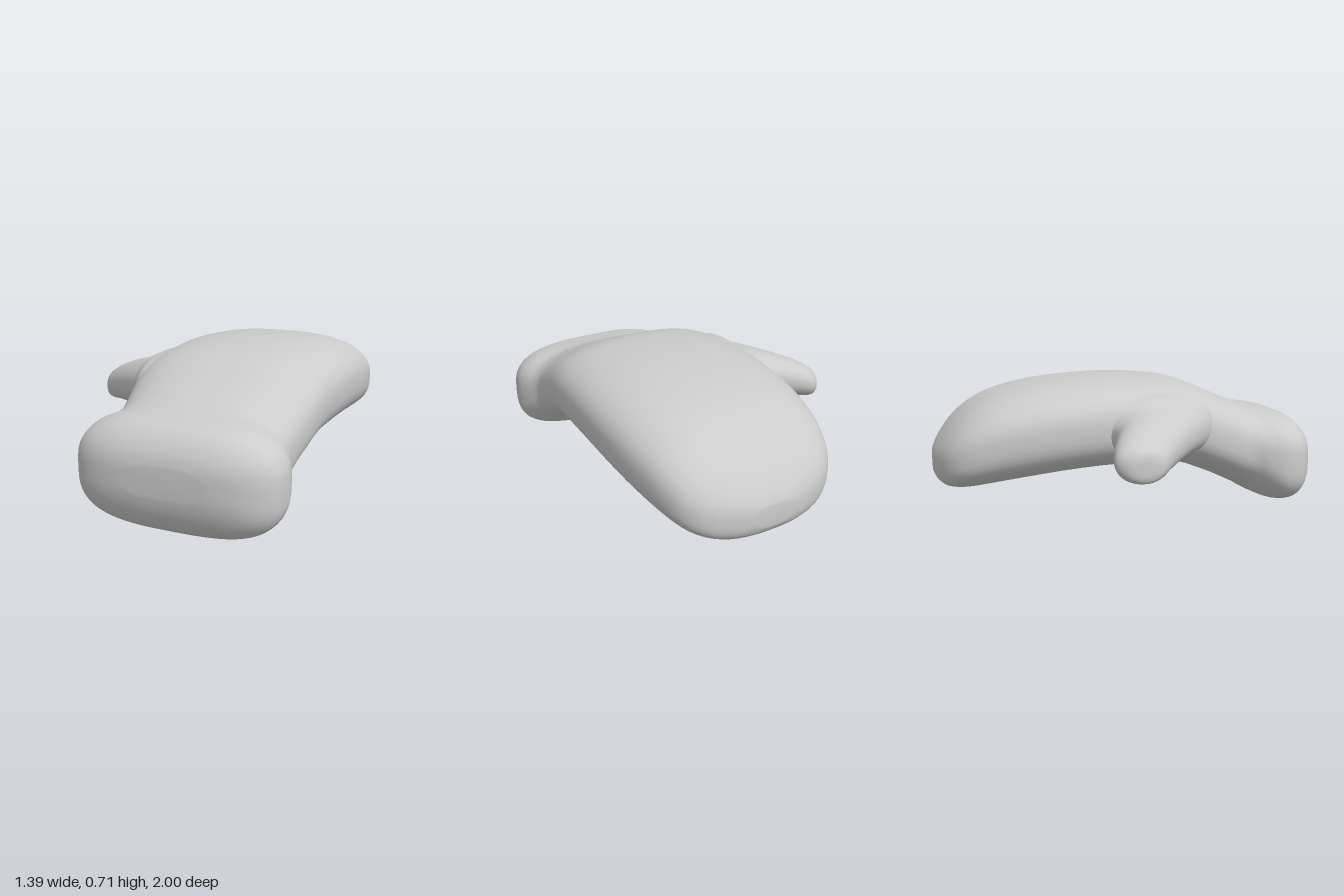
import * as THREE from 'three';

const SEG = 64; // points around each cross-section
const SUB = 3;  // smooth steps between two given sections

// Catmull-Rom blend of neighbouring section rows
function smoothRows(rows) {
  const out = [];
  const at = i => rows[Math.min(Math.max(i, 0), rows.length - 1)];
  for (let i = 0; i < rows.length - 1; i++) {
    for (let k = 0; k < SUB; k++) {
      const t = k / SUB, a = at(i - 1), b = at(i), c = at(i + 1), d = at(i + 2);
      out.push(b.map((v, n) => v + 0.5 * t * (c[n] - a[n]
        + t * (2 * a[n] - 5 * v + 4 * c[n] - d[n]
        + t * (3 * (v - c[n]) + d[n] - a[n])))));
    }
  }
  out.push(rows[rows.length - 1]);
  return out;
}

// Closed loft of superellipses; row = [station, sideMin, sideMax, yMin, yMax, power]
function loft(rows, place) {
  const rings = smoothRows(rows), pos = [], index = [];
  const bend = (v, p) => Math.sign(v) * Math.pow(Math.abs(v), 2 / p);
  for (const [s, lo, hi, y0, y1, p] of rings) {
    for (let j = 0; j < SEG; j++) {
      const a = (j / SEG) * Math.PI * 2;
      const side = (lo + hi) / 2 + (hi - lo) / 2 * bend(Math.cos(a), p);
      const y = (y0 + y1) / 2 + (y1 - y0) / 2 * bend(Math.sin(a), p);
      pos.push(...place(s, side, y));
    }
  }
  const last = (rings.length - 1) * SEG, centre = rings.length * SEG;
  for (const r of [rings[0], rings[rings.length - 1]]) {
    pos.push(...place(r[0], (r[1] + r[2]) / 2, (r[3] + r[4]) / 2));
  }
  for (let j = 0; j < SEG; j++) {
    const k = (j + 1) % SEG;
    for (let o = 0; o < last; o += SEG) {
      index.push(o + j, o + SEG + j, o + k, o + k, o + SEG + j, o + SEG + k);
    }
    index.push(centre, j, k, centre + 1, last + k, last + j);
  }
  const g = new THREE.BufferGeometry();
  g.setAttribute('position', new THREE.Float32BufferAttribute(pos, 3));
  g.setIndex(index);
  g.computeVertexNormals();
  return g;
}

export function createModel() {
  const group = new THREE.Group();
  group.name = 'mitten';
  const material = new THREE.MeshStandardMaterial({ color: 0xcccccc, roughness: 0.8 });
  const add = (name, geometry) => {
    const mesh = new THREE.Mesh(geometry, material);
    mesh.name = name;
    group.add(mesh);
  };

  // Cuff and palm, from wrist opening (+z) to fingertips (-z)
  const hand = [
    [1.00, 0.00, 0.38, 0.20, 0.33],
    [0.985, -0.12, 0.50, 0.13, 0.385],
    [0.95, -0.22, 0.60, 0.055, 0.44],
    [0.90, -0.28, 0.66, 0.012, 0.48],
    [0.85, -0.30, 0.68, 0.00, 0.496],
    [0.78, -0.305, 0.685, 0.012, 0.506],
    [0.70, -0.28, 0.658, 0.045, 0.52],
    [0.65, -0.257, 0.636, 0.075, 0.538],
    [0.60, -0.25, 0.63, 0.10, 0.557],
    [0.50, -0.265, 0.64, 0.148, 0.60],
    [0.40, -0.285, 0.655, 0.19, 0.642],
    [0.27, -0.30, 0.67, 0.235, 0.686],
    [0.10, -0.31, 0.682, 0.245, 0.705],
    [-0.10, -0.32, 0.69, 0.243, 0.71],
    [-0.30, -0.315, 0.69, 0.23, 0.70],
    [-0.50, -0.30, 0.678, 0.207, 0.675],
    [-0.68, -0.268, 0.65, 0.182, 0.63],
    [-0.80, -0.232, 0.615, 0.165, 0.57],
    [-0.88, -0.185, 0.57, 0.16, 0.505],
    [-0.94, -0.11, 0.495, 0.168, 0.435],
    [-0.98, 0.00, 0.39, 0.195, 0.375],
    [-1.00, 0.10, 0.29, 0.23, 0.33],
  ].map(r => [...r, r[0] > 0.7 ? 3 : 2.6]);
  add('hand', loft(hand, (s, side, y) => [side, y, s]));

  // Thumb, from its tip (-x) into the palm
  const thumb = [
    [-0.695, -0.13, -0.06, 0.335, 0.40],
    [-0.685, -0.175, -0.01, 0.305, 0.44],
    [-0.65, -0.215, 0.03, 0.295, 0.468],
    [-0.60, -0.22, 0.07, 0.30, 0.495],
    [-0.50, -0.19, 0.155, 0.31, 0.535],
    [-0.40, -0.155, 0.245, 0.32, 0.567],
    [-0.32, -0.16, 0.325, 0.32, 0.592],
    [-0.25, -0.20, 0.40, 0.315, 0.632],
    [-0.10, -0.24, 0.42, 0.31, 0.66],
  ].map(r => [...r, 2.2]);
  add('thumb', loft(thumb, (s, side, y) => [s, y, side]));

  return group;
}
